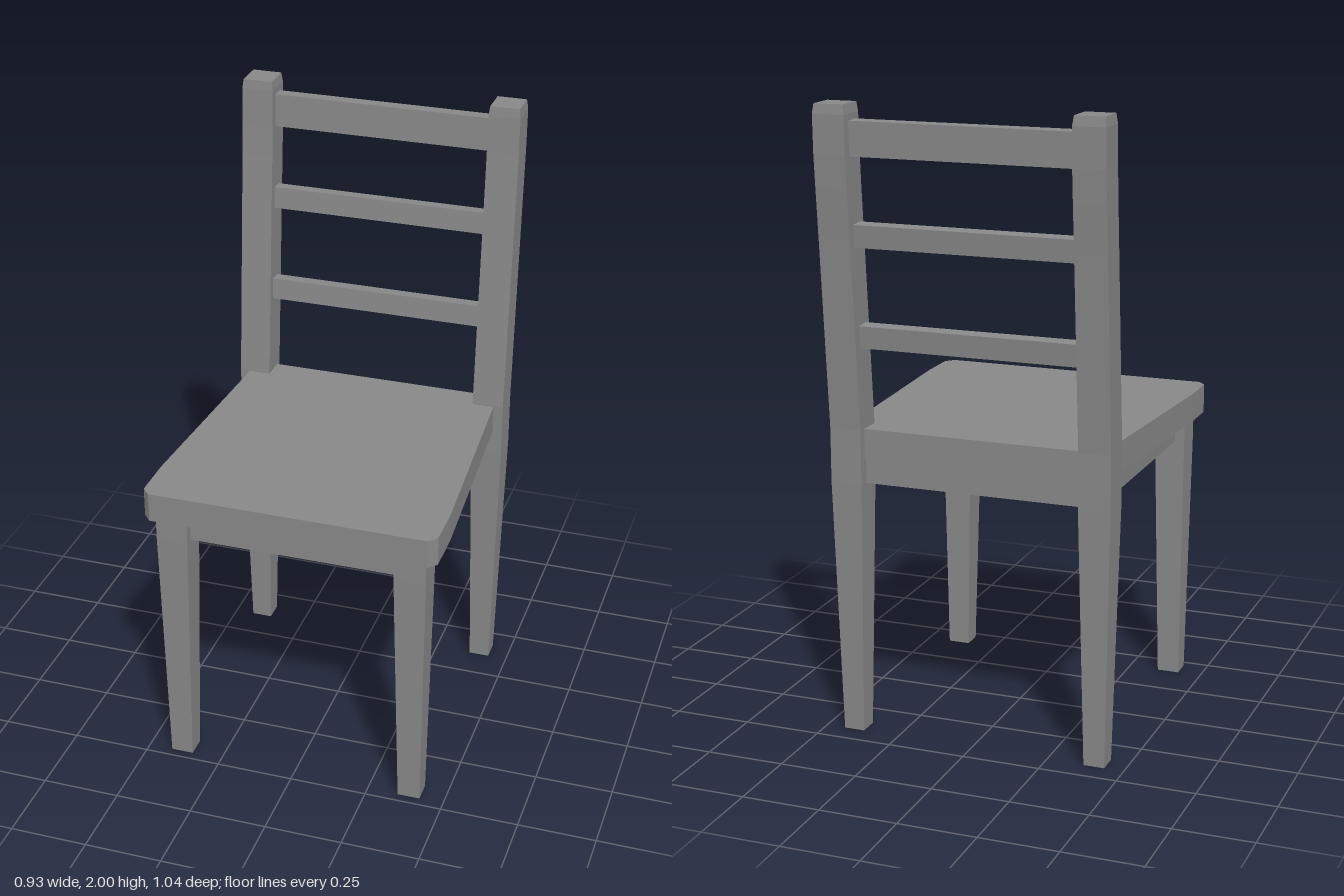
import * as THREE from 'three';

const material = new THREE.MeshStandardMaterial({ color: 0x888888, flatShading: true });

// Square post lofted through rows of [y, xMin, xMax, zMin, zMax], bottom to top
function loftedPost(rows, side) {
  const geo = new THREE.BoxGeometry(1, 1, 1, 1, rows.length - 1, 1);
  const p = geo.attributes.position;
  for (let i = 0; i < p.count; i++) {
    const row = rows[Math.round((p.getY(i) + 0.5) * (rows.length - 1))];
    const [y, a, b, z0, z1] = row;
    const [x0, x1] = side > 0 ? [a, b] : [-b, -a];
    p.setXYZ(i, p.getX(i) < 0 ? x0 : x1, y, p.getZ(i) < 0 ? z0 : z1);
  }
  geo.computeVertexNormals();
  return geo;
}

export function createModel() {
  const chair = new THREE.Group();
  chair.name = 'chair';

  const add = (name, geometry, x = 0, y = 0, z = 0) => {
    const mesh = new THREE.Mesh(geometry, material);
    mesh.name = name;
    mesh.position.set(x, y, z);
    chair.add(mesh);
    return mesh;
  };

  // Legs: straight beside the apron, tapering below it; back posts lean back
  const frontRows = [
    [0, 0.35, 0.422, 0.403, 0.47],
    [0.825, 0.331, 0.432, 0.388, 0.49],
    [0.905, 0.331, 0.432, 0.388, 0.49],
  ];
  const backRows = [
    [0, 0.37, 0.437, -0.427, -0.36],
    [0.825, 0.353, 0.455, -0.447, -0.344],
    [1.0, 0.353, 0.455, -0.447, -0.344],
    [1.6, 0.353, 0.455, -0.496, -0.394],
    [1.75, 0.353, 0.455, -0.509, -0.407],
    [1.85, 0.353, 0.455, -0.517, -0.414],
    [1.97, 0.353, 0.455, -0.52, -0.419],
    [2, 0.357, 0.451, -0.516, -0.422],
  ];
  for (const side of [1, -1]) {
    const label = side > 0 ? 'left' : 'right';
    add(`${label}FrontLeg`, loftedPost(frontRows, side));
    add(`${label}BackPost`, loftedPost(backRows, side));
    add(`${label}Apron`, new THREE.BoxGeometry(0.04, 0.085, 0.75), side * 0.38, 0.8635, 0.022);
  }

  // Seat: tapered board with clipped front corners, notched around the posts
  const half = [[0.353, -0.42], [0.353, -0.344], [0.423, -0.344], [0.467, 0.35], [0.467, 0.49], [0.442, 0.518]];
  const outline = [...half, ...half.map(([x, z]) => [-x, z]).reverse()];
  const seatShape = new THREE.Shape(outline.map(([x, z]) => new THREE.Vector2(x, -z)));
  const seat = new THREE.ExtrudeGeometry(seatShape, { depth: 0.094, bevelEnabled: false });
  seat.rotateX(-Math.PI / 2);
  add('seat', seat, 0, 0.903, 0);

  // Front and back aprons
  add('frontApron', new THREE.BoxGeometry(0.67, 0.085, 0.04), 0, 0.8635, 0.44);
  add('backApron', new THREE.BoxGeometry(0.73, 0.085, 0.04), 0, 0.8635, -0.39);

  // Back slats, tilted with the posts: [name, y, z, height, tilt]
  const slats = [
    ['lowerSlat', 1.291, -0.415, 0.07, -0.085],
    ['middleSlat', 1.605, -0.443, 0.07, -0.085],
    ['topSlat', 1.898, -0.465, 0.106, -0.04],
  ];
  for (const [name, y, z, height, tilt] of slats) {
    add(name, new THREE.BoxGeometry(0.72, height, 0.045), 0, y, z).rotation.x = tilt;
  }

  return chair;
}
